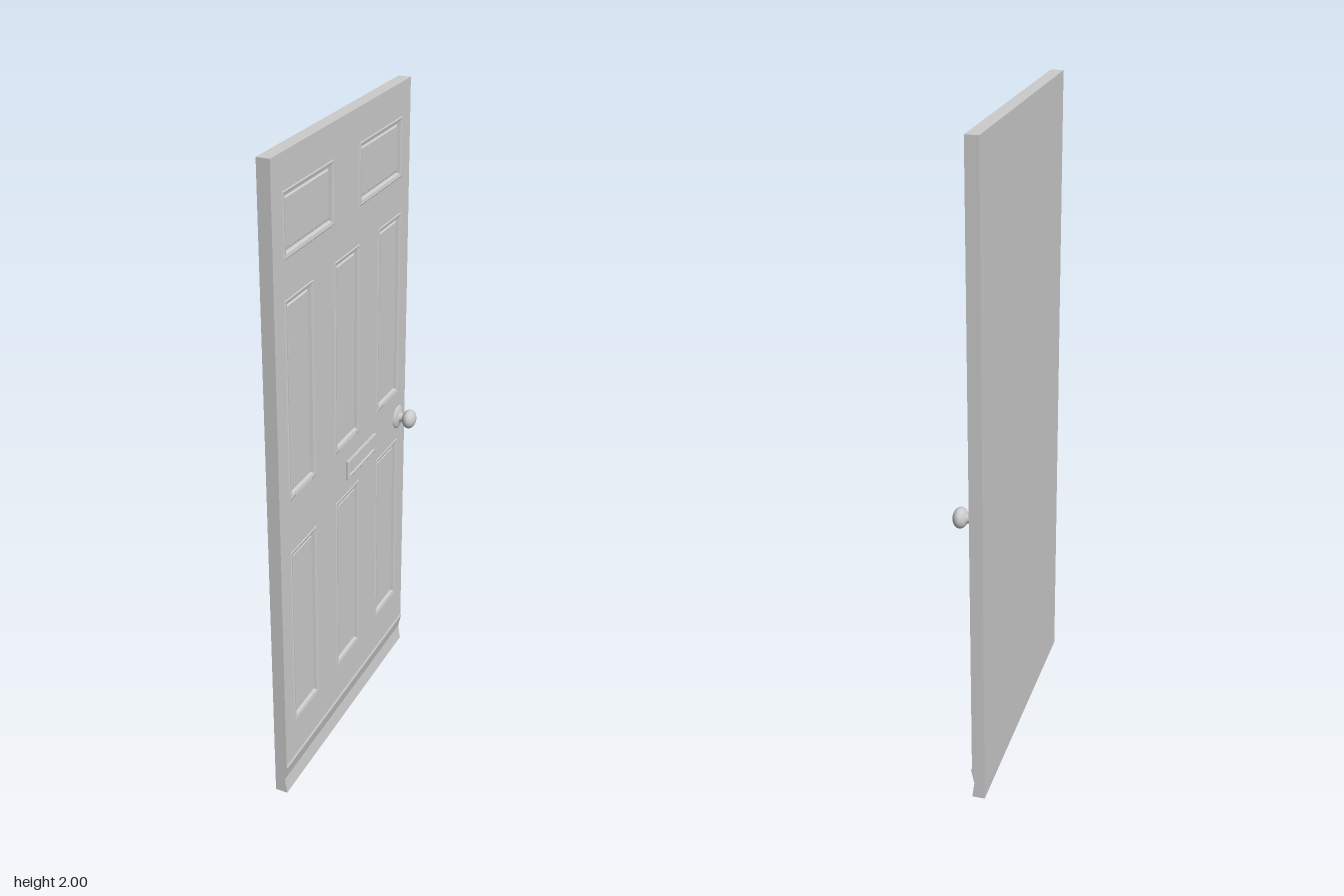
import * as THREE from 'three';

const material = new THREE.MeshStandardMaterial({ color: 0xcccccc });
const flat = new THREE.MeshStandardMaterial({ color: 0xcccccc, flatShading: true });

const HALF = 0.445, BACK = -0.051, FACE = -0.012, MID = -0.026, SILL = 0.105;

function part(name, geometry, mat = flat) {
  const mesh = new THREE.Mesh(geometry, mat);
  mesh.name = name;
  return mesh;
}

function rectangle(Type, [x0, x1, y0, y1]) {
  const p = new Type();
  p.moveTo(x0, y0);
  p.lineTo(x1, y0);
  p.lineTo(x1, y1);
  p.lineTo(x0, y1);
  p.closePath();
  return p;
}

// Nested rectangles, each [inset, depth], joined by mitred strips and closed by a flat field
function mouldedPanel([x0, x1, y0, y1], profile) {
  const pos = [], index = [];
  for (const [d, z] of profile) {
    pos.push(x0 + d, y0 + d, z, x1 - d, y0 + d, z, x1 - d, y1 - d, z, x0 + d, y1 - d, z);
  }
  for (let r = 0; r < profile.length - 1; r++) {
    for (let i = 0; i < 4; i++) {
      const a = r * 4 + i, b = r * 4 + (i + 1) % 4;
      index.push(a, b, b + 4, a, b + 4, a + 4);
    }
  }
  const k = (profile.length - 1) * 4;
  index.push(k, k + 1, k + 2, k, k + 2, k + 3);
  const g = new THREE.BufferGeometry();
  g.setAttribute('position', new THREE.Float32BufferAttribute(pos, 3));
  g.setIndex(index);
  const out = g.toNonIndexed();
  out.computeVertexNormals();
  return out;
}

export function createModel() {
  const model = new THREE.Group();
  model.name = 'panelledDoor';

  // Built facing local +z, then turned to face +x
  const door = new THREE.Group();
  door.name = 'door';
  door.rotation.y = Math.PI / 2;
  model.add(door);

  // Panel openings: two wide on top, two rows of three tall ones
  const openings = [[-0.385, -0.083, 1.717, 1.9], [0.083, 0.385, 1.717, 1.9]];
  for (const [y0, y1] of [[1.007, 1.607], [0.233, 0.837]]) {
    for (const x of [-0.301, 0, 0.301]) openings.push([x - 0.084, x + 0.084, y0, y1]);
  }

  // Solid back of the slab
  const core = new THREE.BoxGeometry(2 * HALF, 2 - SILL, MID - BACK);
  core.translate(0, (2 + SILL) / 2, (MID + BACK) / 2);
  door.add(part('slab', core));

  // Stiles and rails around the openings
  const face = rectangle(THREE.Shape, [-HALF, HALF, SILL, 2]);
  face.holes = openings.map((o) => rectangle(THREE.Path, o));
  const skin = new THREE.ExtrudeGeometry(face, { depth: FACE - MID, bevelEnabled: false });
  skin.translate(0, 0, MID);
  door.add(part('stilesAndRails', skin));

  // Moulded panels
  const moulding = [[0, FACE], [0.003, FACE + 0.002], [0.013, FACE], [0.016, -0.021],
    [0.021, -0.021], [0.025, -0.017]];
  openings.forEach((o) => door.add(part('panel', mouldedPanel(o, moulding))));

  // Bottom rail with a shaped weather bar
  const rail = new THREE.Shape([[BACK, 0], [-0.012, 0], [-0.019, 0.05], [-0.009, 0.097],
    [FACE, SILL], [BACK, SILL]].map(([x, y]) => new THREE.Vector2(x, y)));
  const bar = new THREE.ExtrudeGeometry(rail, { depth: 2 * HALF, bevelEnabled: false });
  bar.translate(0, 0, -HALF);
  model.add(part('weatherBar', bar));

  // Letter plate with a sunk flap
  const plate = [[0, FACE], [0, -0.005], [0.002, -0.004], [0.01, -0.004], [0.012, -0.008]];
  door.add(part('letterPlate', mouldedPanel([-0.01, 0.197, 0.883, 0.945], plate)));

  // Knob: rose, neck and rounded grip
  const profile = [[0.038, -0.013], [0.038, -0.009], [0.033, -0.006], [0.024, -0.004],
    [0.016, -0.002], [0.014, 0.002], [0.014, 0.009]].map(([r, h]) => new THREE.Vector2(r, h));
  for (let i = 0; i <= 12; i++) {
    const a = -1.05 + (Math.PI / 2 + 1.05) * i / 12;
    profile.push(new THREE.Vector2(Math.max(0, 0.031 * Math.cos(a)), 0.029 + 0.022 * Math.sin(a)));
  }
  const knob = part('knob', new THREE.LatheGeometry(profile, 32), material);
  knob.rotation.x = Math.PI / 2;
  knob.position.set(0.388, 0.914, 0);
  door.add(knob);

  return model;
}
